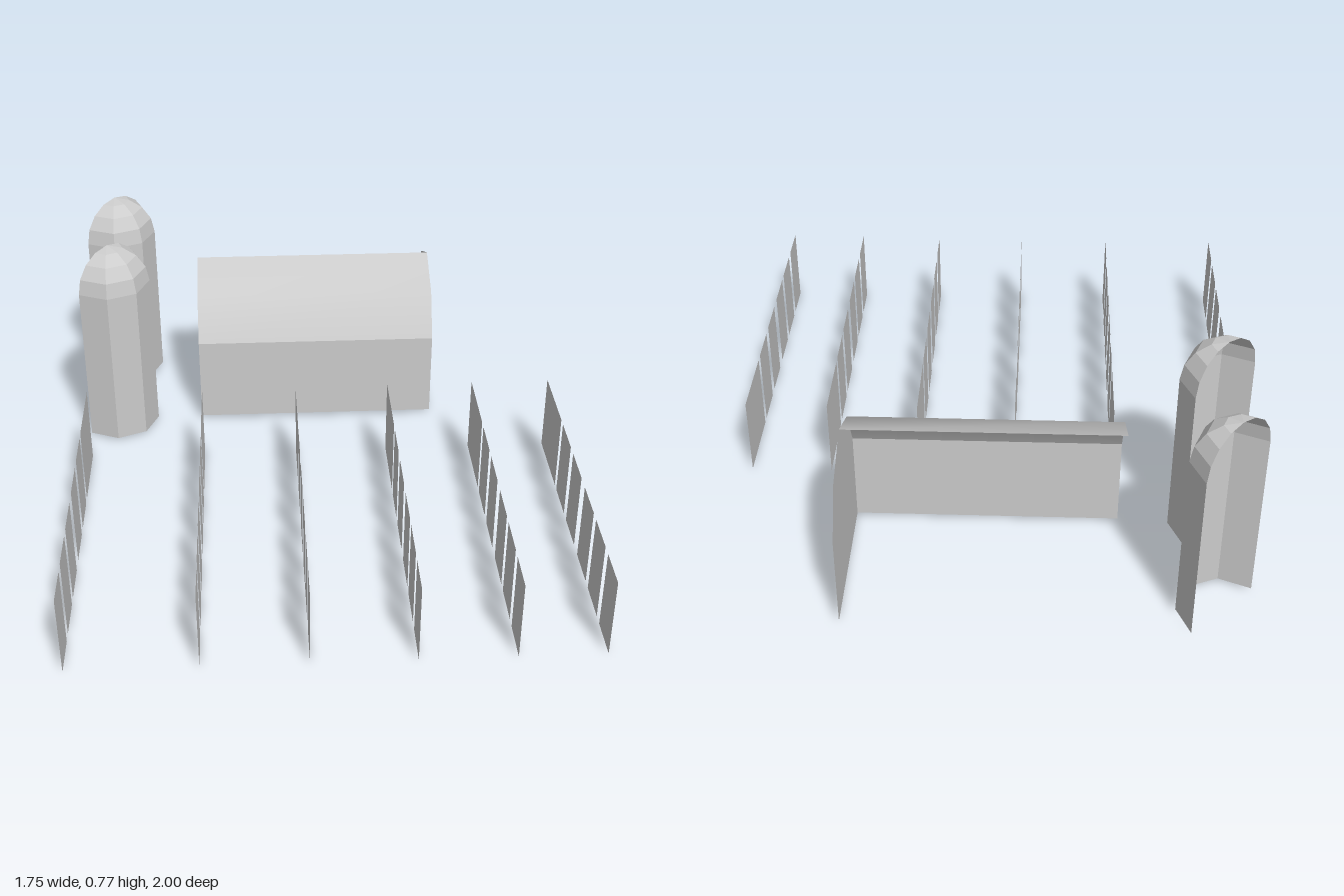
import * as THREE from 'three';

const smooth = new THREE.MeshStandardMaterial({ color: 0xcccccc, side: THREE.DoubleSide });
const faceted = new THREE.MeshStandardMaterial({ color: 0xcccccc, side: THREE.DoubleSide, flatShading: true });

function addMesh(parent, name, geometry, material, x = 0, y = 0, z = 0) {
  const mesh = new THREE.Mesh(geometry, material);
  mesh.name = name;
  mesh.position.set(x, y, z);
  parent.add(mesh);
  return mesh;
}

// Half of an eight-sided silo: straight wall and domed top, open at the back
function siloGeometry(radius, base, shoulder) {
  const profile = [new THREE.Vector2(radius, base)];
  for (let i = 0; i <= 4; i++) {
    const a = (i / 4) * Math.PI / 2;
    profile.push(new THREE.Vector2(radius * Math.cos(a), shoulder + radius * Math.sin(a)));
  }
  return new THREE.LatheGeometry(profile, 4, -Math.PI / 4, Math.PI);
}

// Open sheet swept along x through [z, y] points, smooth across its bends
function sheetGeometry(points, x0, x1) {
  const geometry = new THREE.PlaneGeometry(x1 - x0, 1, 1, points.length - 1);
  const pos = geometry.attributes.position;
  points.forEach(([z, y], row) => {
    pos.setXYZ(row * 2, x0, y, z);
    pos.setXYZ(row * 2 + 1, x1, y, z);
  });
  geometry.computeVertexNormals();
  return geometry;
}

function buildBarn() {
  const barn = new THREE.Group();
  barn.name = 'barn';
  const x0 = -0.445, x1 = 0.463;
  const front = -0.457, ridge = -0.724, base = 0.013, eave = 0.34;
  const slope = [[ridge, 0.58], [-0.547, 0.5], [front, eave]];

  addMesh(barn, 'frontWall', sheetGeometry([[front, eave], [front, base]], x0, x1), smooth);
  addMesh(barn, 'frontRoof', sheetGeometry(slope, x0, x1), smooth);

  // Gable end: the front half of the profile mirrored about the ridge
  const half = [...slope, [front, base]].map(([z, y]) => [z - ridge, y]);
  const outline = [...half, ...half.slice(1).reverse().map(([d, y]) => [-d, y])];
  const gable = new THREE.ShapeGeometry(
    new THREE.Shape(outline.map(([d, y]) => new THREE.Vector2(-d, y))));
  gable.rotateY(Math.PI / 2);
  addMesh(barn, 'gableEnd', gable, smooth, x1, 0, ridge);
  return barn;
}

export function createModel() {
  const model = new THREE.Group();
  model.name = 'farm';
  model.add(buildBarn());

  // Pair of silos
  const silo = siloGeometry(0.15, 0.008, 0.618);
  for (const z of [-0.466, -0.893]) addMesh(model, 'silo', silo, faceted, -0.768, 0, z);

  // Rows of upright crop panels, the last in each row wider
  const height = 0.288;
  const spans = [[0.855, 1], [0.672, 0.818], [0.49, 0.637], [0.288, 0.435], [0.1, 0.247], [-0.21, 0.07]];
  for (const x of [-0.86, -0.43, -0.08, 0.266, 0.586, 0.875]) {
    const row = new THREE.Group();
    row.name = 'cropRow';
    row.position.x = x;
    for (const [z0, z1] of spans) {
      const panel = new THREE.PlaneGeometry(z1 - z0, height).rotateY(Math.PI / 2);
      addMesh(row, 'cropPanel', panel, smooth, 0, height / 2, (z0 + z1) / 2);
    }
    model.add(row);
  }
  return model;
}
